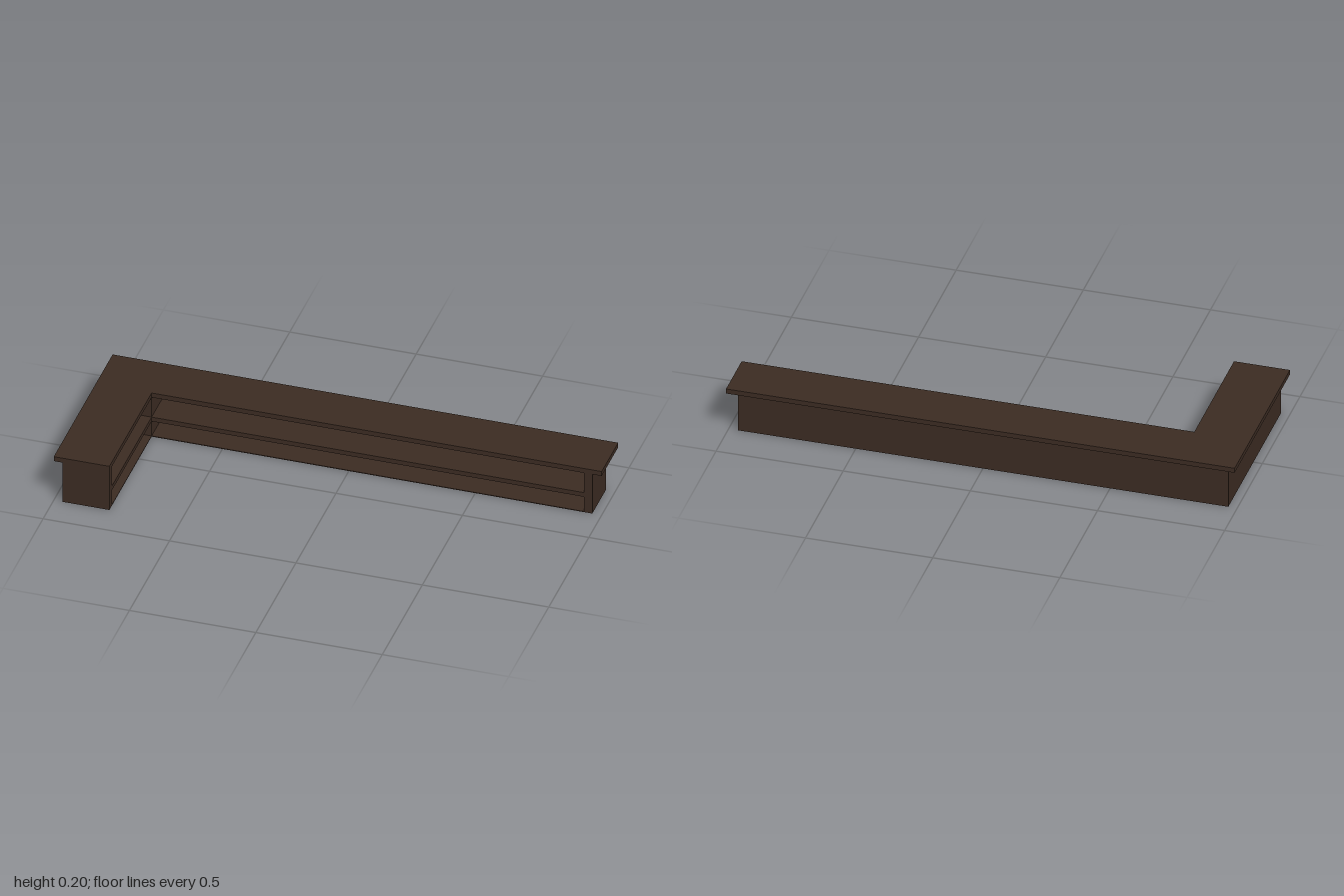
import * as THREE from 'three';

const darkWood = new THREE.MeshStandardMaterial({ color: 0x3b2b22 });
darkWood.name = 'darkWood';

// L-shaped outline in plan: outer corner (x0, z0), arm ends (x1, z1), inner corner (xi, zi)
function slabL(name, x0, z0, x1, z1, xi, zi, y0, y1) {
  const pts = [[x0, z0], [x1, z0], [x1, zi], [xi, zi], [xi, z1], [x0, z1]];
  const shape = new THREE.Shape(pts.map(([x, z]) => new THREE.Vector2(x, -z)));
  const geo = new THREE.ExtrudeGeometry(shape, { depth: y1 - y0, bevelEnabled: false });
  geo.rotateX(-Math.PI / 2);
  geo.translate(0, y0, 0);
  const mesh = new THREE.Mesh(geo, darkWood);
  mesh.name = name;
  return mesh;
}

// Box given by its two extreme corners
function panel(name, [x0, y0, z0], [x1, y1, z1]) {
  const geo = new THREE.BoxGeometry(x1 - x0, y1 - y0, z1 - z0);
  geo.translate((x0 + x1) / 2, (y0 + y1) / 2, (z0 + z1) / 2);
  const mesh = new THREE.Mesh(geo, darkWood);
  mesh.name = name;
  return mesh;
}

export function createModel() {
  const counter = new THREE.Group();
  counter.name = 'cornerCounter';

  const wall = 0.033;                    // panel thickness
  const xL = -0.965, xR = 0.963;         // cabinet ends
  const zB = -0.333, zF = 0.367;
  const xi = -0.78, zi = -0.16;          // inner corner
  const floor = 0.003, top = 0.177;

  // Countertop overhangs the outer sides; shelf and floor follow the same L
  counter.add(
    slabL('countertop', -1, -0.367, 1, zF, xi, zi, top, 0.197),
    slabL('floorPanel', xL, zB, xR, zF, xi, zi, 0, floor),
    slabL('shelf', xL + wall, zB + wall, xR - wall, zF - wall, xi, zi, 0.069, 0.088),
  );

  // Upright panels around the outside
  counter.add(
    panel('backPanel', [xi, floor, zB], [xR - wall, top, zB + wall]),
    panel('sidePanel', [xL, floor, zi], [xL + wall, top, zF - wall]),
    panel('longArmEnd', [xR - wall, floor, zB], [xR, top, zi]),
    panel('shortArmEnd', [xL, floor, zF - wall], [xi, top, zF]),
  );

  // Closed corner between the two open shelf bays
  counter.add(panel('cornerBlock', [xL, floor, zB], [xi, top, zi]));

  return counter;
}
